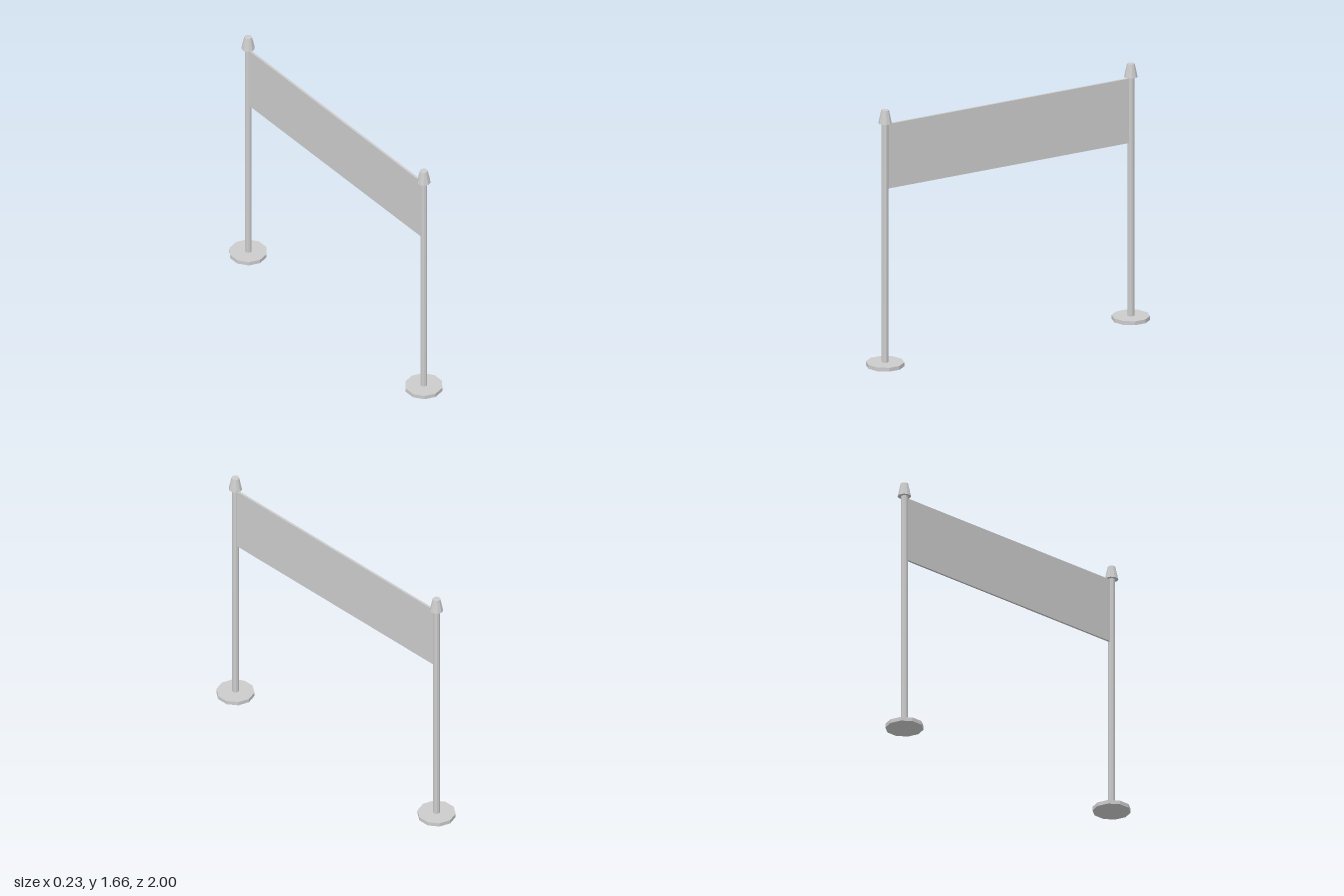
import * as THREE from 'three';

const material = new THREE.MeshStandardMaterial({ color: 0xcccccc, flatShading: true });
const SIDES = 10;
const POST_Z = 0.881;

// Ten-sided cylinder or cone frustum standing between two heights
function turned(name, topRadius, bottomRadius, y0, y1) {
  const geometry = new THREE.CylinderGeometry(topRadius, bottomRadius, y1 - y0, SIDES);
  const mesh = new THREE.Mesh(geometry, material);
  mesh.name = name;
  mesh.position.y = (y0 + y1) / 2;
  return mesh;
}

// Round foot, slim pole and tapered cap
function createPost(name, z) {
  const post = new THREE.Group();
  post.name = name;
  post.add(
    turned('foot', 0.119, 0.119, 0, 0.025),
    turned('pole', 0.021, 0.021, 0.025, 1.58),
    turned('cap', 0.024, 0.042, 1.58, 1.665)
  );
  post.position.z = z;
  return post;
}

export function createModel() {
  const model = new THREE.Group();
  model.name = 'bannerStand';
  model.add(createPost('frontPost', POST_Z), createPost('backPost', -POST_Z));

  // Thin panel spanning the two poles
  const bottom = 1.152, top = 1.572;
  const banner = new THREE.Mesh(new THREE.BoxGeometry(0.014, top - bottom, POST_Z * 2), material);
  banner.name = 'banner';
  banner.position.y = (bottom + top) / 2;
  model.add(banner);

  return model;
}
